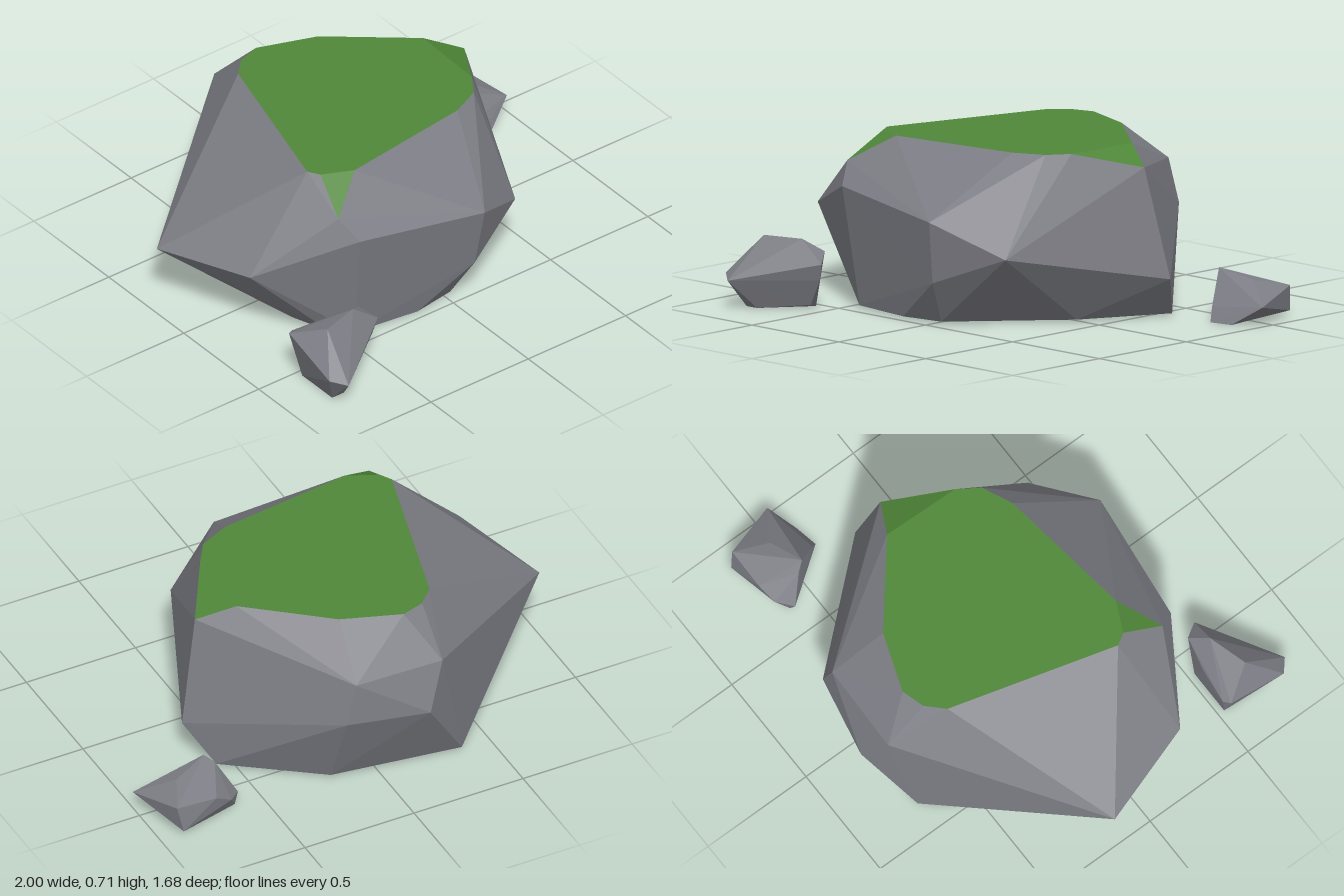
import * as THREE from 'three';
import { ConvexGeometry } from 'three/addons/geometries/ConvexGeometry.js';

const stone = new THREE.MeshStandardMaterial({ color: 0x7c7d84 });
stone.name = 'stone';
const moss = new THREE.MeshStandardMaterial({ color: 0x4f8738 });
moss.name = 'moss';

const hull = (points) => new ConvexGeometry(points.map((p) => new THREE.Vector3(...p)));
const atHeight = (y, outline) => outline.map(([x, z]) => [x, y, z]);

// Keeps only the facets for which test(normal, centre) is true
function pickFacets(geometry, test) {
  const pos = geometry.attributes.position;
  const kept = [];
  for (let i = 0; i < pos.count; i += 3) {
    const t = new THREE.Triangle();
    t.setFromAttributeAndIndices(pos, i, i + 1, i + 2);
    if (test(t.getNormal(new THREE.Vector3()), t.getMidpoint(new THREE.Vector3()))) kept.push(t.a, t.b, t.c);
  }
  const out = new THREE.BufferGeometry().setFromPoints(kept);
  out.computeVertexNormals();
  return out;
}

export function createModel() {
  const group = new THREE.Group();
  const add = (name, geometry, material) => {
    const mesh = new THREE.Mesh(geometry, material);
    mesh.name = name;
    group.add(mesh);
  };

  // Boulder: flat top, jutting middle corners, undercut base
  const top = atHeight(0.71, [
    [-0.32, -0.52], [-0.25, -0.59], [-0.15, -0.62], [0.1, -0.53], [0.43, -0.26],
    [0.42, 0.08], [0.36, 0.17], [0.23, 0.23], [-0.36, 0.31], [-0.49, 0.25], [-0.52, 0.2],
  ]);
  const middle = [
    [0.58, 0.64, -0.18], [0.67, 0.18, -0.24], [0.38, 0.31, 0.42], [0.08, 0.19, 0.54],
    [0.1, 0.45, 0.58], [-0.48, 0.51, 0.5], [-0.53, 0.6, 0.42], [-0.86, 0.36, 0.26],
    [-1, 0.32, -0.18], [-0.25, 0.54, -0.77], [-0.16, 0.35, -0.84], [0.14, 0.54, -0.76],
    [0.19, 0.36, -0.77],
  ];
  const base = atHeight(0.01, [
    [-0.45, 0.43], [-0.16, 0.47], [0.03, 0.44], [0.39, 0.02], [0.57, -0.35], [0.34, -0.5],
    [0.19, -0.63], [-0.37, -0.71], [-0.45, -0.62], [-0.59, 0.19], [-0.53, 0.36],
  ]);
  const boulder = hull([...top, ...middle, ...base]);
  const isTop = (n, c) => n.y > 0.8 && c.y > 0.66;
  add('boulder', pickFacets(boulder, (n, c) => !isTop(n, c)), stone);
  add('mossTop', pickFacets(boulder, isTop), moss);

  // Small stone in front
  add('frontPebble', hull([
    [-0.77, 0.29, 0.66], [-0.6, 0.29, 0.61], [-0.86, 0.23, 0.52], [-0.83, 0.22, 0.5],
    [-0.86, 0.14, 0.79], [-0.8, 0.12, 0.84], [-0.48, 0.2, 0.62], [-0.5, 0.13, 0.61],
    [-0.53, 0.24, 0.55], [-0.67, 0.22, 0.52], [-0.8, 0, 0.73], [-0.8, 0, 0.53],
    [-0.6, 0, 0.53], [-0.56, 0.02, 0.6], [-0.74, 0, 0.73],
  ]), stone);

  // Small stone behind
  add('backPebble', hull([
    [0.7, 0.2, -0.49], [0.67, 0.18, -0.53], [0.85, 0.16, -0.54], [1, 0.08, -0.44],
    [0.92, 0.13, -0.68], [0.9, 0.02, -0.7], [0.6, 0.05, -0.6], [0.62, 0, -0.61],
    [0.66, 0.07, -0.66], [0.74, 0.12, -0.68], [0.78, 0, -0.36], [0.88, 0, -0.38],
    [0.76, 0.06, -0.39],
  ]), stone);

  return group;
}
